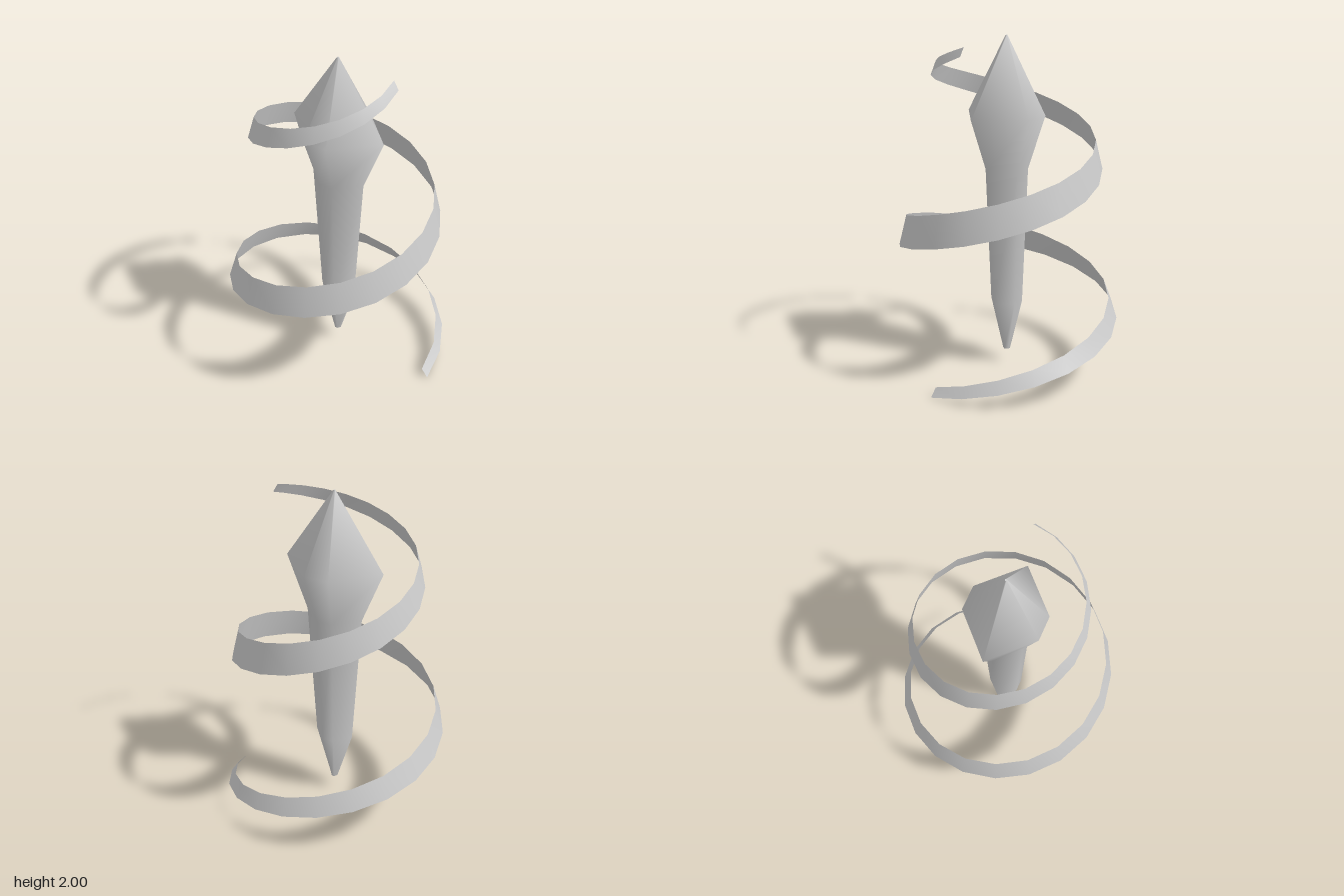
import * as THREE from 'three';

const grey = new THREE.MeshStandardMaterial({ color: 0xcccccc, side: THREE.DoubleSide });
grey.name = 'plain grey';

// Smooth surface through equal-length rows of points
function loft(rows, closed) {
  const n = rows[0].length;
  const index = [];
  for (let i = 0; i < rows.length - 1; i++) {
    for (let j = 0; j < (closed ? n : n - 1); j++) {
      const k = (j + 1) % n;
      const a = i * n + j, b = i * n + k, c = a + n, d = b + n;
      index.push(a, c, b, b, c, d);
    }
  }
  const geo = new THREE.BufferGeometry();
  geo.setAttribute('position', new THREE.Float32BufferAttribute(rows.flat(2), 3));
  geo.setIndex(index);
  geo.computeVertexNormals();
  return geo;
}

// Flat six-sided shaft: [height, half width, half depth, half width of the flat face]
function makeShaft() {
  const sections = [
    [0.09, 0.021, 0.02, 0.008],
    [0.41, 0.12, 0.092, 0.035],
    [1.235, 0.176, 0.125, 0.045],
    [1.555, 0.305, 0.226, 0.075],
    [2.0, 0.006, 0.005, 0.002],
  ];
  const rows = sections.map(([y, w, d, f]) => [
    [w, y, 0], [f, y, d], [-f, y, d], [-w, y, 0], [-f, y, -d], [f, y, -d],
  ]);
  const group = new THREE.Group();
  group.name = 'shaft';
  const body = new THREE.Mesh(loft(rows, true), grey);
  body.name = 'shaftBody';
  // Reverse the winding so the faces point outwards
  body.geometry.index.array.reverse();
  body.geometry.computeVertexNormals();
  group.add(body);

  // Small flat ends
  for (const [name, row, up] of [['shaftFoot', rows[0], -1], ['shaftTip', rows[4], 1]]) {
    const shape = new THREE.Shape(row.map(([x, , z]) => new THREE.Vector2(x, -up * z)));
    const cap = new THREE.Mesh(new THREE.ShapeGeometry(shape), grey);
    cap.name = name;
    cap.rotation.x = -up * Math.PI / 2;
    cap.position.y = row[0][1];
    group.add(cap);
  }
  return group;
}

// Ribbon winding two turns upwards, widest halfway, narrowing to both ends
function makeRibbon() {
  // Lower edge every quarter turn: outer radius, height, inner radius of the upper edge
  const path = new THREE.CatmullRomCurve3([
    [0.665, 0.005, 0.625], [0.663, 0.225, 0.614], [0.665, 0.435, 0.614],
    [0.655, 0.655, 0.608], [0.622, 0.885, 0.576], [0.575, 1.13, 0.534],
    [0.528, 1.395, 0.487], [0.466, 1.665, 0.434], [0.386, 1.92, 0.356],
  ].map((p) => new THREE.Vector3(...p)), false, 'catmullrom', 0.5);
  const steps = 40;
  const rows = [];
  for (let i = 0; i <= steps; i++) {
    const t = i / steps;
    const a = t * Math.PI * 4;
    const p = path.getPoint(t);
    const top = p.y + 0.05 + 0.14 * Math.sin(Math.PI * t);
    const c = Math.cos(a), s = -Math.sin(a);
    rows.push([[p.x * c, p.y, p.x * s], [p.z * c, top, p.z * s]]);
  }
  const geo = loft(rows, false);
  const ribbon = new THREE.Mesh(geo, grey);
  // Outer side is the front side
  geo.index.array.reverse();
  geo.computeVertexNormals();
  ribbon.name = 'spiralRibbon';
  return ribbon;
}

export function createModel() {
  const model = new THREE.Group();
  model.name = 'spiralSpike';
  model.add(makeShaft(), makeRibbon());
  return model;
}
